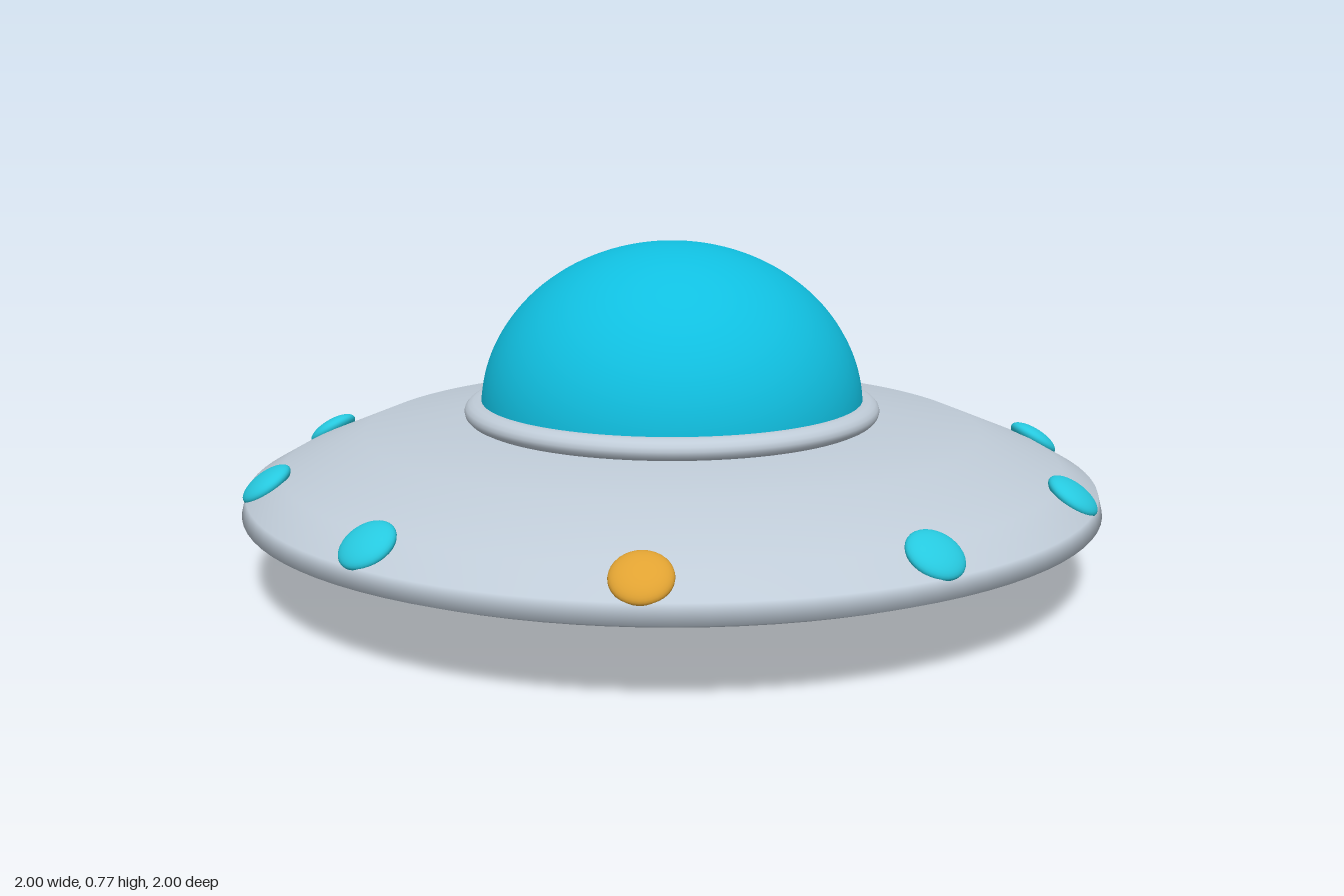
import * as THREE from 'three';

const paint = (name, color) => {
  const m = new THREE.MeshStandardMaterial({ color });
  m.name = name;
  return m;
};

export function createModel() {
  const group = new THREE.Group();
  const silver = paint('silver', 0xc0ccd8);
  const navy = paint('navy', 0x263a4c);
  const glass = paint('glass blue', 0x10bfe0);
  const cyan = paint('light cyan', 0x26c8de);
  const amber = paint('amber', 0xe0a232);

  const add = (name, geometry, material) => {
    const mesh = new THREE.Mesh(geometry, material);
    mesh.name = name;
    group.add(mesh);
    return mesh;
  };
  // Profiles run from the bottom up, as [radius, height]
  const lathe = (points) =>
    new THREE.LatheGeometry(points.map(([r, y]) => new THREE.Vector2(r, y)), 96);

  // Saucer body
  add('hull', lathe([
    [0.75, 0.095], [0.95, 0.16], [1, 0.18], [0.99, 0.22],
    [0.91, 0.265], [0.72, 0.343], [0.47, 0.362], [0.3, 0.37],
  ]), silver);

  // Dark underside
  add('belly', lathe([[0, 0.015], [0.28, 0.015], [0.53, 0.06], [0.75, 0.095]]), navy);

  // Glowing disc under the belly, with a softened edge
  add('bellyLight', lathe([[0, 0], [0.25, 0], [0.272, 0.004], [0.282, 0.014], [0.28, 0.03]]), cyan);

  // Collar round the dome
  const collar = add('collar', new THREE.TorusGeometry(0.455, 0.034, 16, 96), silver);
  collar.rotation.x = Math.PI / 2;
  collar.scale.z = 0.75;
  collar.position.y = 0.384;

  // Flattened glass dome
  const dome = add('dome', new THREE.SphereGeometry(0.45, 64, 32, 0, Math.PI * 2, 0, Math.PI / 2), glass);
  dome.scale.y = 0.39 / 0.45;
  dome.position.y = 0.385;

  // Rim lights, lying on the slope of the hull; the front one is amber
  const lens = new THREE.SphereGeometry(0.063, 32, 20);
  lens.scale(1, 0.4, 1);
  lens.rotateX(0.6);
  lens.translate(0, 0.253, 0.942);
  for (let i = 0; i < 10; i++) {
    const light = add(i ? 'rimLight' + i : 'frontLight', lens, i ? cyan : amber);
    light.rotation.y = (i * Math.PI) / 5;
  }
  return group;
}
